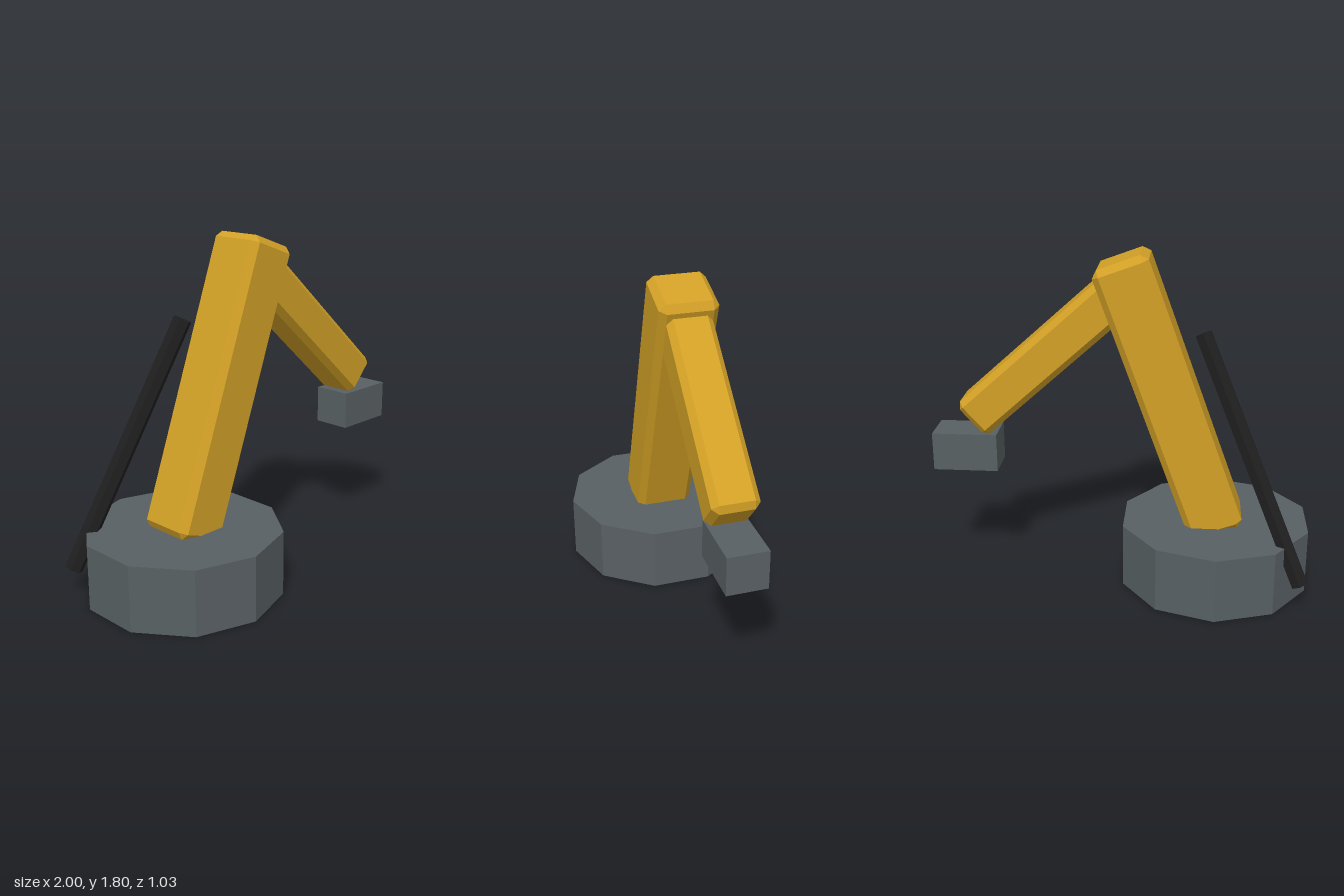
import * as THREE from 'three';
import { ConvexGeometry } from 'three/addons/geometries/ConvexGeometry.js';

const yellow = new THREE.MeshStandardMaterial({ name: 'yellow paint', color: 0xd2a026 });
const grey = new THREE.MeshStandardMaterial({ name: 'grey steel', color: 0x586063 });
const black = new THREE.MeshStandardMaterial({ name: 'black rubber', color: 0x1f1f1f });

// Box with every edge cut by a single flat bevel
function bevelledBox(w, h, d, b) {
  const points = [];
  for (const x of [-w / 2, w / 2])
    for (const y of [-h / 2, h / 2])
      for (const z of [-d / 2, d / 2]) {
        const bx = x - Math.sign(x) * b, by = y - Math.sign(y) * b, bz = z - Math.sign(z) * b;
        points.push(
          new THREE.Vector3(x, by, bz),
          new THREE.Vector3(bx, y, bz),
          new THREE.Vector3(bx, by, z));
      }
  return new ConvexGeometry(points);
}

export function createModel() {
  const group = new THREE.Group();
  group.name = 'robotArm';

  function add(name, geometry, material, x, y, z = 0, tilt = 0) {
    const mesh = new THREE.Mesh(geometry, material);
    mesh.name = name;
    mesh.position.set(x, y, z);
    mesh.rotation.z = tilt;
    group.add(mesh);
    return mesh;
  }

  // Ten-sided pedestal
  const pedestal = new THREE.CylinderGeometry(0.515, 0.515, 0.345, 10).toNonIndexed();
  pedestal.computeVertexNormals();
  add('base', pedestal, grey, -0.51, 0.1725);

  // Leaning upper arm and the forearm hanging from its top
  add('upperArm', bevelledBox(0.3, 1.545, 0.31, 0.035), yellow, -0.256, 1.03, 0, -0.35);
  add('forearm', bevelledBox(1.11, 0.23, 0.24, 0.032), yellow, 0.377, 1.266, 0, -0.73);

  // Gripper block
  add('gripper', new THREE.BoxGeometry(0.345, 0.205, 0.21), grey, 0.8275, 0.7225);

  // Six-sided hose running up behind the arm
  const low = new THREE.Vector3(-0.95, 0.14, -0.35);
  const high = new THREE.Vector3(-0.42, 1.395, -0.075);
  const along = high.clone().sub(low);
  const mid = low.clone().add(high).multiplyScalar(0.5);
  const tube = new THREE.CylinderGeometry(0.0475, 0.0475, along.length(), 6).toNonIndexed();
  tube.computeVertexNormals();
  add('hose', tube, black, mid.x, mid.y, mid.z)
    .quaternion.setFromUnitVectors(new THREE.Vector3(0, 1, 0), along.normalize());

  return group;
}
